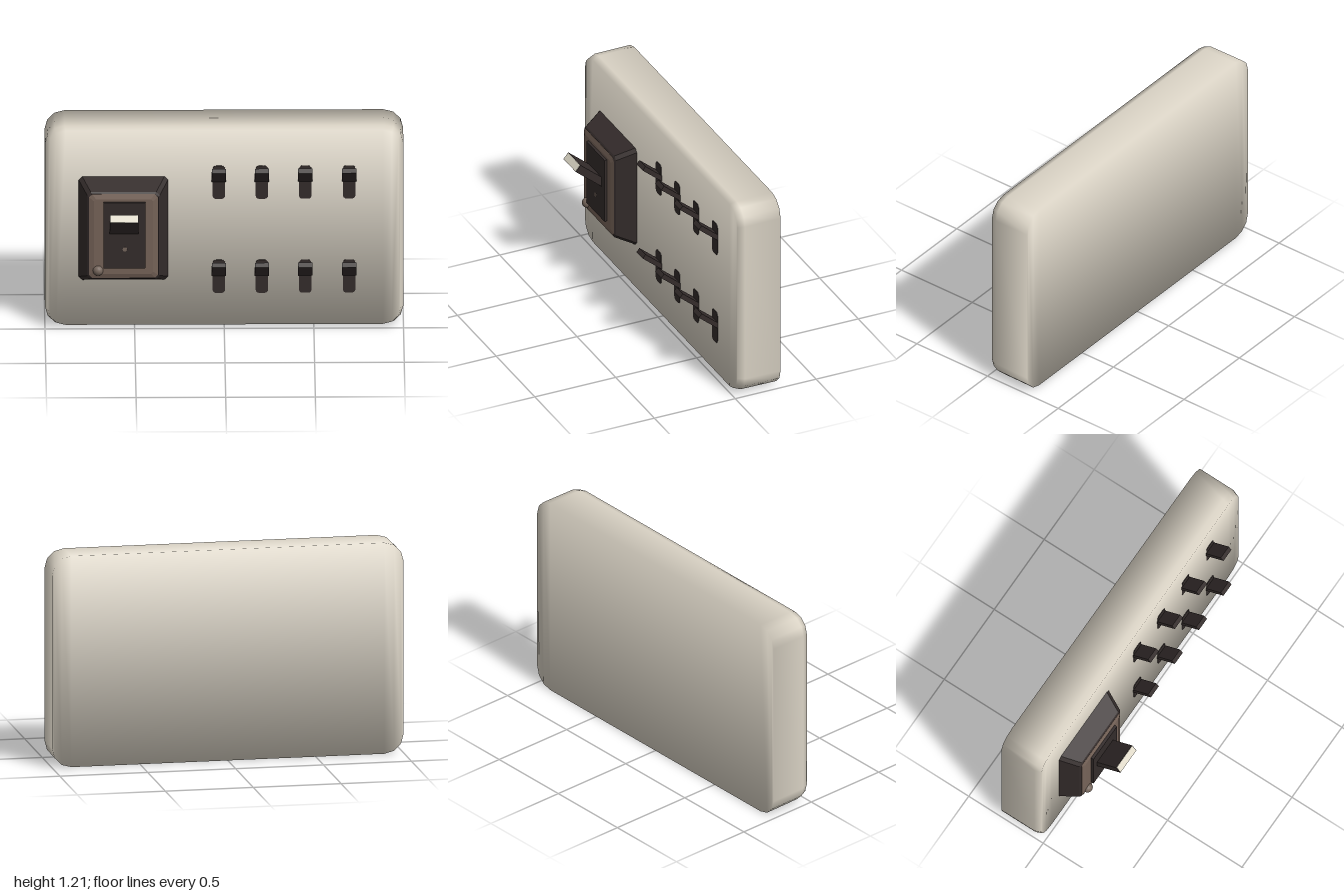
import * as THREE from 'three';

const mat = (name, color) => {
  const m = new THREE.MeshStandardMaterial({ color });
  m.name = name;
  return m;
};

// Rounded rectangle, counter-clockwise from the right side; steps = 1 gives chamfered corners
function roundedRing(w, h, r, z, steps) {
  const points = [];
  for (let c = 0; c < 4; c++) {
    const sx = c === 0 || c === 3 ? 1 : -1, sy = c < 2 ? 1 : -1;
    for (let s = 0; s <= steps; s++) {
      const a = (c + s / steps) * Math.PI / 2;
      points.push([sx * (w / 2 - r) + r * Math.cos(a), sy * (h / 2 - r) + r * Math.sin(a), z, a]);
    }
  }
  return points;
}

// Closed solid through rings [w, h, r, z] from back to front.
// With tilt, normals are smooth and both rims lean outward by that angle; otherwise facets are flat.
function loft(specs, steps, tilt = 0) {
  const rings = specs.map(([w, h, r, z]) => roundedRing(w, h, r, z, steps));
  const n = rings[0].length, last = (rings.length - 1) * n, index = [];
  for (let k = 0; k < last; k += n) {
    for (let i = 0; i < n; i++) {
      const a = k + i, b = k + (i + 1) % n;
      index.push(a, b, b + n, a, b + n, a + n);
    }
  }
  for (let i = 0; i < n / 2 - 1; i++) {
    const j = n - 1 - i;
    index.push(last + i, last + i + 1, last + j - 1, last + i, last + j - 1, last + j);
    index.push(i, j - 1, i + 1, i, j, j - 1);
  }
  let geo = new THREE.BufferGeometry();
  geo.setAttribute('position', new THREE.Float32BufferAttribute(rings.flat().flatMap(p => p.slice(0, 3)), 3));
  geo.setIndex(index);
  if (!tilt) geo = geo.toNonIndexed();
  geo.computeVertexNormals();
  if (tilt) {
    for (const [start, sign] of [[0, -1], [last, 1]]) {
      rings[0].forEach(([, , , a], i) => geo.attributes.normal.setXYZ(start + i,
        Math.cos(a) * Math.sin(tilt), Math.sin(a) * Math.sin(tilt), sign * Math.cos(tilt)));
    }
  }
  return geo;
}

export function createModel() {
  const cream = mat('cream plate', 0xdad3c5);
  const dark = mat('dark housing', 0x342c2b);
  const brown = mat('brown bezel', 0x766358);
  const taupe = mat('taupe stud', 0x75665c);
  const ivory = mat('ivory tip', 0xe2dccb);

  const root = new THREE.Group();
  root.name = 'switchPanel';
  const add = (parent, name, geo, material, x = 0, y = 0, z = 0) => {
    const mesh = new THREE.Mesh(geo, material);
    mesh.name = name;
    mesh.position.set(x, y, z);
    parent.add(mesh);
    return mesh;
  };

  // Wall plate: closed slab with a softened front edge
  add(root, 'wallPlate', loft([
    [2, 1.205, 0.11, -0.28], [2, 1.2, 0.11, -0.06], [1.97, 1.172, 0.1, -0.02],
  ], 3, 0.65), cream, 0, 0.6025, 0);

  // Main switch: tapered housing, chamfered bezel, raised panel
  const main = new THREE.Group();
  main.name = 'mainSwitch';
  main.position.set(-0.5625, 0.6, 0);
  root.add(main);
  add(main, 'housing', loft([
    [0.5, 0.625, 0.02, -0.022], [0.405, 0.525, 0.02, 0.087], [0.388, 0.508, 0.018, 0.094],
  ], 1), dark);
  add(main, 'bezel', loft([
    [0.385, 0.505, 0.018, 0.09], [0.385, 0.505, 0.018, 0.095], [0.33, 0.45, 0.012, 0.104],
  ], 1), brown);
  add(main, 'centrePanel', new THREE.BoxGeometry(0.235, 0.395, 0.035), dark, 0.005, 0.0125, 0.1025);
  add(main, 'stud', new THREE.SphereGeometry(0.03, 14, 10), taupe, -0.1425, -0.205, 0.1);
  const dot = add(main, 'indicatorDot', new THREE.CylinderGeometry(0.013, 0.013, 0.006, 12), taupe, 0.0075, -0.07, 0.119);
  dot.rotation.x = Math.PI / 2;

  // Levers lean up and forward; x, y, z is the centre of the outer end
  const pitch = -40 * Math.PI / 180;
  const lever = (name, parent, width, thick, length, x, y, z) => {
    const group = new THREE.Group();
    group.name = name;
    group.position.set(x, y, z);
    group.rotation.x = pitch;
    parent.add(group);
    add(group, 'leverBar', new THREE.BoxGeometry(width, thick, length), dark, 0, 0, -length / 2);
    return group;
  };
  const mainLever = lever('mainLever', main, 0.16, 0.046, 0.22, 0.0025, 0.172, 0.263);
  add(mainLever, 'leverTip', new THREE.BoxGeometry(0.154, 0.043, 0.004), ivory);

  // Two rows of four small switches, each a rounded slot with a lever
  const slot = loft([[0.07, 0.2, 0.02, -0.024], [0.07, 0.2, 0.02, -0.017]], 3);
  for (const y of [0.875, 0.307]) {
    for (const x of [-0.03, 0.21, 0.452, 0.697]) {
      add(root, 'slot', slot, dark, x, y, 0);
      lever('smallLever', root, 0.08, 0.028, 0.175, x, y + 0.112, 0.09);
    }
  }
  return root;
}
